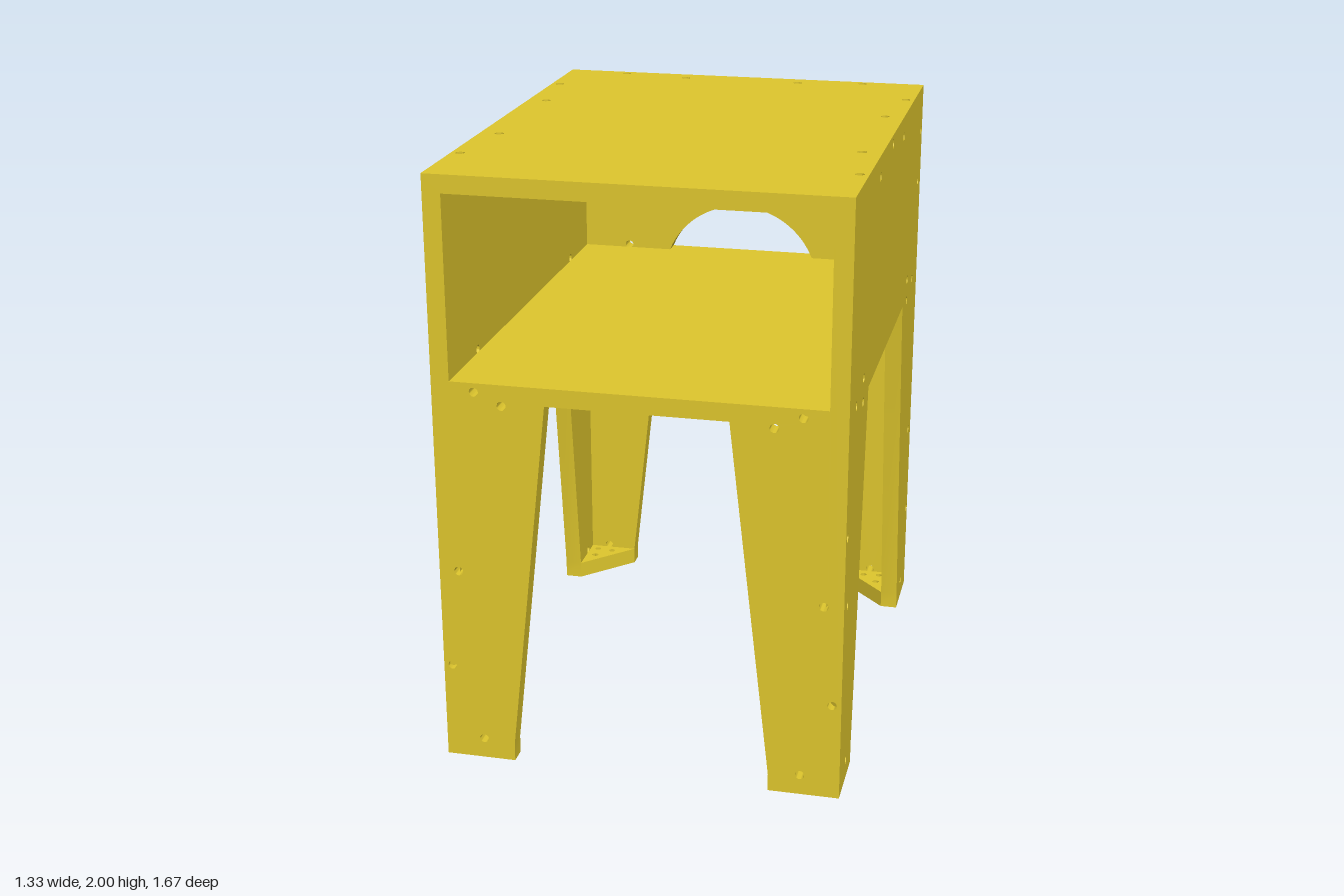
import * as THREE from 'three';
import { toCreasedNormals } from 'three/addons/utils/BufferGeometryUtils.js';

const W = 0.665, D = 0.835, H = 2, T = 0.06, FLOOR = 1.335;
const polygon = (points) => new THREE.Shape(points.map(([x, y]) => new THREE.Vector2(x, y)));

function circle(x, y, r = 0.015) {
  const path = new THREE.Path();
  path.absarc(x, y, r, 0, Math.PI * 2, true);
  return path;
}

// Screw holes mirrored about the panel's centre line
const mirrored = (points) => points.flatMap(([x, y]) => [circle(x, y), circle(-x, y)]);

// Wall outline with a tapered cut-out that leaves two legs
const wallShape = (half, foot, knee) => polygon([
  [-half, 0], [-foot, 0], [-foot, T], [-knee, FLOOR - T], [knee, FLOOR - T],
  [foot, T], [foot, 0], [half, 0], [half, H], [-half, H],
]);

// Board with its outer face at local z = distance and mitred outer edges
function boardGeometry(shape, holes, distance, half, yMin, yMax) {
  shape.holes.push(...holes);
  const g = new THREE.ExtrudeGeometry(shape, { depth: T, bevelEnabled: false, curveSegments: 14 });
  const p = g.attributes.position;
  for (let i = 0; i < p.count; i++) {
    if (p.getZ(i) > T / 2) continue;
    const x = p.getX(i), y = p.getY(i);
    if (Math.abs(x) > half - 1e-4) p.setX(i, Math.sign(x) * (half - T));
    if (y > yMax - 1e-4) p.setY(i, yMax - T);
    if (y < yMin + 1e-4) p.setY(i, yMin + T);
  }
  g.translate(0, 0, distance - T);
  return toCreasedNormals(g, 0.5);
}

export function createModel() {
  const group = new THREE.Group();
  const material = new THREE.MeshStandardMaterial({ color: 0xdec62d });
  const add = (name, geometry) => {
    const mesh = new THREE.Mesh(geometry, material);
    mesh.name = name;
    group.add(mesh);
    return mesh;
  };

  const legHoles = [[0.435, 1.265], [0.525, 1.305], [0.6, 0.68], [0.635, 0.335], [0.535, 0.07]];

  // Front wall with the rectangular compartment opening
  const opening = polygon([[-W + T, FLOOR], [-W + T, H - T], [W - T, H - T], [W - T, FLOOR]]);
  add('frontWall', boardGeometry(wallShape(W, 0.43, 0.295),
    [opening, ...mirrored(legHoles)], D, W, -1, H));

  // Back wall with the arched opening at floor level
  const arch = new THREE.Path();
  const rise = 0.112, radius = 0.297, start = Math.asin(rise / radius);
  arch.absarc(0, FLOOR - rise, radius, start, Math.PI - start, false);
  arch.closePath();
  add('backWall', boardGeometry(wallShape(W, 0.43, 0.295),
    [arch, ...mirrored([...legHoles, [0.235, 1.93], [0.6, 1.68], [0.435, 1.345]])],
    D, W, -1, H)).rotation.y = Math.PI;

  // Side walls; hole positions are given as z, y
  const pairs = [[0.29, 1.93], [0.545, 1.345], [0.545, 1.265], [0.695, 1.305], [0.705, 0.07]];
  const singles = [[0, 1.97], [-0.805, 1.84], [-0.765, 1.66], [-0.765, 0.68],
    [0.765, 0.66], [0.805, 0.91], [-0.805, 0.335]];
  for (const s of [1, -1]) {
    const holes = [...mirrored(pairs), ...singles.map(([z, y]) => circle(-s * z, y))];
    add(s > 0 ? 'leftWall' : 'rightWall',
      boardGeometry(wallShape(D, 0.595, 0.43), holes, W, D, -1, H)).rotation.y = s * Math.PI / 2;
  }

  // Top board
  const top = polygon([[-W, -D], [W, -D], [W, D], [-W, D]]);
  add('topBoard', boardGeometry(top,
    mirrored([[0.445, 0.805], [0.635, 0.56], [0.635, -0.555], [0.6, 0.27], [0.6, -0.265], [0.21, 0.77]]),
    H, W, -D, D)).rotation.x = -Math.PI / 2;

  // Compartment floor between the walls
  const floor = new THREE.BoxGeometry(2 * (W - T), T, 2 * (D - T));
  add('compartmentFloor', floor.translate(0, FLOOR - T / 2, 0));

  // Triangular foot block inside each corner
  for (const sx of [1, -1]) for (const sz of [1, -1]) {
    const x = sx * (W - T), z = sz * (D - T);
    const shape = polygon([[x, -z], [sx * 0.43, -z], [x, -sz * 0.595]]);
    for (const [dx, dz] of [[0.03, 0.03], [0.09, 0.035], [0.035, 0.09]])
      shape.holes.push(circle(x - sx * dx, -(z - sz * dz), 0.012));
    const g = new THREE.ExtrudeGeometry(shape, { depth: T, bevelEnabled: false, curveSegments: 6 });
    add('footBlock', g.rotateX(-Math.PI / 2));
  }
  return group;
}
